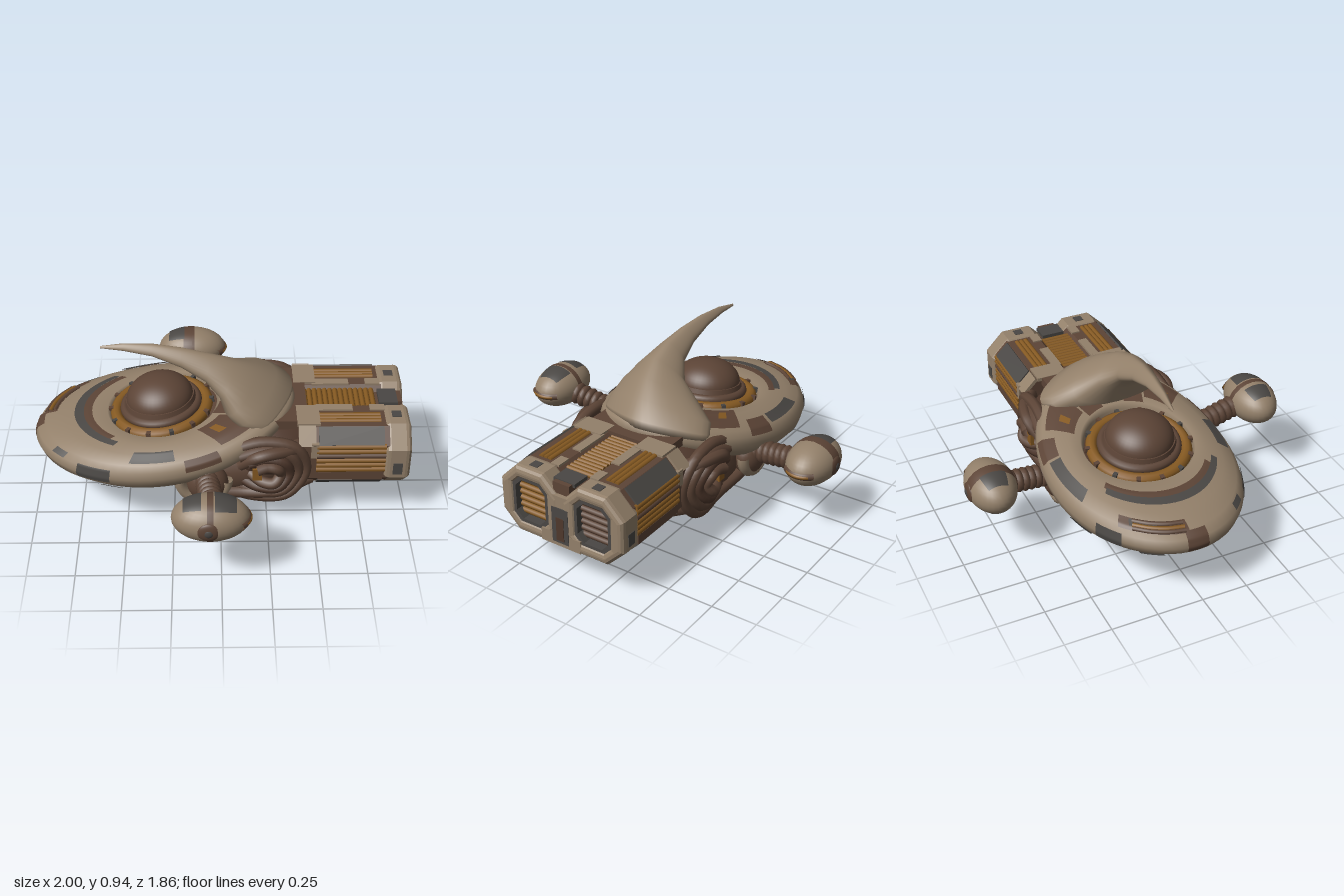
import * as THREE from 'three';

const V = (x, y, z) => new THREE.Vector3(x, y, z);
const D = Math.PI / 180;
const CX = -0.3, CZ = -0.03; // centre of the saucer hull

const colour = (name, hex) => {
  const m = new THREE.MeshStandardMaterial({ color: hex, side: THREE.DoubleSide });
  m.name = name;
  return m;
};

// skin through rows of points
function loft(rows, closeRows, closeLoop) {
  const n = rows.length, m = rows[0].length, pos = [], idx = [];
  rows.forEach(r => r.forEach(p => pos.push(p.x, p.y, p.z)));
  for (let i = 0; i < (closeRows ? n : n - 1); i++)
    for (let j = 0; j < (closeLoop ? m : m - 1); j++) {
      const a = i * m + j, b = i * m + (j + 1) % m;
      const c = ((i + 1) % n) * m + j, d = ((i + 1) % n) * m + (j + 1) % m;
      idx.push(a, b, c, b, d, c);
    }
  const g = new THREE.BufferGeometry();
  g.setAttribute('position', new THREE.Float32BufferAttribute(pos, 3));
  g.setIndex(idx);
  g.computeVertexNormals();
  return g;
}

// hull cross-section: fraction from cockpit hole to rim, height above the mid surface
const PROFILE = [[0, 0.03], [0, 0.1], [0.05, 0.122], [0.3, 0.118], [0.6, 0.1], [0.85, 0.07], [0.96, 0.038],
  [1, 0], [0.96, -0.04], [0.8, -0.08], [0.5, -0.11], [0.2, -0.12], [-0.3, -0.12]];

function hullPoint(th, s, lift = 0) {
  const i = Math.min(Math.floor(s), PROFILE.length - 2), t = s - i;
  let f = PROFILE[i][0] * (1 - t) + PROFILE[i + 1][0] * t;
  let h = PROFILE[i][1] * (1 - t) + PROFILE[i + 1][1] * t;
  h += lift * THREE.MathUtils.clamp(h / 0.04, -1, 1);
  f += lift * 2 * THREE.MathUtils.smoothstep(f, 0.75, 1);
  const c = Math.cos(th), n = Math.sin(th);
  const x = CX + c * (0.285 * (1 - f) + 0.7 * f), z = CZ + n * (0.285 * (1 - f) + 0.5 * f);
  const d = x - CX;
  return V(x, 0.4 + 0.12 * d + 0.1 * d * d + 0.1 * Math.max(0, d) ** 2 + h, z);
}

function hullPatch(t0, t1, s0, s1, lift) {
  const rows = [];
  for (let i = 0; i <= 20; i++) {
    const row = [];
    for (let j = 0; j <= 10; j++) row.push(hullPoint((t0 + (t1 - t0) * i / 20) * D, s0 + (s1 - s0) * j / 10, lift));
    rows.push(row);
  }
  return loft(rows);
}

const octagon = (hw, hh, c, T = THREE.Shape) => new T([[hw, c - hh], [hw, hh - c], [hw - c, hh], [c - hw, hh],
  [-hw, hh - c], [-hw, c - hh], [c - hw, -hh], [hw - c, -hh]].map(p => new THREE.Vector2(...p)));

// octagonal prism along x, optionally hollow
function prism(outer, hole, depth, bevel) {
  const s = octagon(...outer);
  if (hole) s.holes.push(octagon(...hole, THREE.Path));
  return new THREE.ExtrudeGeometry(s, { depth, bevelEnabled: bevel > 0, bevelSize: bevel, bevelThickness: bevel,
    bevelSegments: 3 }).rotateY(Math.PI / 2);
}

export function createModel() {
  const root = new THREE.Group();
  root.name = 'spacecraft';
  const tan = colour('tan plating', 0x93806a), brown = colour('brown pipework', 0x5c4436);
  const amber = colour('amber glow', 0x865a22), grey = colour('grey panel', 0x4a4744), dark = colour('dark recess', 0x4f382c);

  const add = (name, geo, mat, x = 0, y = 0, z = 0, parent = root) => {
    const m = new THREE.Mesh(geo, mat);
    m.name = name;
    m.position.set(x, y, z);
    parent.add(m);
    return m;
  };
  const box = (name, mat, w, h, d, x, y, z, parent) => add(name, new THREE.BoxGeometry(w, h, d), mat, x, y, z, parent);
  const rod = (name, mat, r, len, axis, x, y, z, parent) => {
    const g = new THREE.CylinderGeometry(r, r, len, 8);
    if (axis === 'x') g.rotateZ(Math.PI / 2); else g.rotateX(Math.PI / 2);
    return add(name, g, mat, x, y, z, parent);
  };
  const pipe = (name, mat, pts, r, parent) => add(name, new THREE.TubeGeometry(
    new THREE.CatmullRomCurve3(pts.map(p => V(...p))), 36, r, 8), mat, 0, 0, 0, parent);
  const blob = (name, mat, rx, ry, rz, x, y, z, parent) => add(name,
    new THREE.SphereGeometry(1, 32, 20).scale(rx, ry, rz), mat, x, y, z, parent);

  // saucer hull and its inlaid panels
  const rows = [];
  for (let i = 0; i < 72; i++) rows.push(PROFILE.map((p, s) => hullPoint(i * 5 * D, s)));
  add('saucerHull', loft(rows, true), tan);
  [[130, 236, 2.8, 3.25, brown], [122, 234, 3.2, 3.6, grey], [246, 276, 4, 5, grey], [254, 266, 4.2, 4.8, brown],
    [84, 106, 3.9, 4.9, grey], [184, 224, 4.5, 5.4, brown], [202, 218, 4.6, 5, grey], [298, 326, 2.5, 4.7, brown],
    [306, 312, 3, 3.7, amber], [34, 60, 2.5, 4.7, brown], [48, 54, 3, 3.7, amber], [113, 130, 5.9, 7.5, grey],
    [139, 148, 5.3, 6, grey], [222, 236, 6, 7.6, grey], [174, 187, 5.2, 7.6, brown], [198, 212, 8.4, 9.2, grey],
    [150, 164, 8.4, 9.2, grey], [240, 254, 8.3, 9.1, grey], [110, 122, 8.3, 9.1, grey], [64, 80, 5, 6.6, brown],
    [278, 292, 4, 6, brown], [328, 348, 2, 3.6, brown], [12, 32, 2, 3.6, brown]
  ].forEach(([a, b, c, d, m]) => add('hullPanel', hullPatch(a, b, c, d, m === brown ? 0.005 : 0.009), m));
  for (let k = 0; k < 3; k++) pipe('noseRod', k === 1 ? amber : brown,
    [186, 196, 206, 216].map(a => hullPoint(a * D, 4.65 + k * 0.25, 0.004).toArray()), 0.012);

  // cockpit dome and rings
  const cockpit = new THREE.Group();
  cockpit.name = 'cockpit';
  cockpit.position.set(-0.31, 0.48, CZ);
  cockpit.rotation.z = 0.12;
  root.add(cockpit);
  add('cockpitFloor', new THREE.CylinderGeometry(0.285, 0.285, 0.06, 48), dark, 0, -0.02, 0, cockpit);
  const ring = (name, mat, R, r, y) => add(name, new THREE.TorusGeometry(R, r, 10, 56).rotateX(Math.PI / 2), mat, 0, y, 0, cockpit);
  ring('amberRing', amber, 0.246, 0.032, 0.025);
  ring('domeCollar', brown, 0.195, 0.026, 0.05);
  add('domeWall', new THREE.CylinderGeometry(0.185, 0.205, 0.08, 48), brown, 0, 0.06, 0, cockpit);
  add('dome', new THREE.SphereGeometry(1, 40, 14, 0, Math.PI * 2, 0, Math.PI / 2).scale(0.18, 0.125, 0.18), brown, 0, 0.09, 0, cockpit);
  for (let i = 0; i < 14; i++) {
    const a = i * Math.PI / 7;
    const b = box('ringClamp', i % 3 ? brown : grey, 0.03, 0.03, 0.022, Math.cos(a) * 0.27, 0.038, Math.sin(a) * 0.27, cockpit);
    b.rotation.y = -a;
  }

  // swept crest: top point, bottom point, half width, sideways drift
  const crest = [[-0.62, 0.912, -0.62, 0.9, 0.006, 0], [-0.5, 0.934, -0.5, 0.895, 0.02, 0.012], [-0.35, 0.938, -0.35, 0.875, 0.037, 0.025],
    [-0.2, 0.922, -0.2, 0.82, 0.056, 0.04], [-0.05, 0.888, -0.08, 0.75, 0.085, 0.05], [0.08, 0.842, -0.01, 0.67, 0.14, 0.045],
    [0.2, 0.78, 0.01, 0.59, 0.225, 0.01], [0.3, 0.715, 0.04, 0.54, 0.285, -0.03], [0.385, 0.645, 0.1, 0.53, 0.3, -0.05],
    [0.39, 0.6, 0.12, 0.51, 0.29, -0.05], [0.25, 0.55, 0.2, 0.52, 0.02, -0.05]];
  add('crest', loft(crest.map(([tx, ty, bx, by, w, drift]) => Array.from({ length: 32 }, (_, j) => {
    const a = j * Math.PI / 16, k = 0.5 + 0.5 * Math.cos(a);
    return V(bx + (tx - bx) * k, by + (ty - by) * k, Math.sin(a) * (1 - 0.4 * Math.cos(a)) * w + drift);
  })), false, true), tan);

  // belly and midsection core
  blob('belly', brown, 0.46, 0.24, 0.38, 0.06, 0.3, CZ);
  blob('midsection', dark, 0.36, 0.19, 0.38, 0.22, 0.38, CZ);
  blob('bellyKnob', brown, 0.08, 0.05, 0.08, -0.04, 0.05, CZ);

  // coiled side pipes, mirrored
  for (const s of [1, -1]) {
    for (let i = 0; i < 4; i++) {
      const k = 1 - i * 0.23, z = CZ + s * (0.34 + i * 0.02), at = (x, y, dz = 0) => [0.25 + x * k, 0.36 + y * k, z + s * dz];
      pipe('sidePipe', i === 2 ? dark : brown, [at(-0.3, -0.12, -0.05), at(-0.1, -0.19, 0), at(0.1, -0.17, 0.02), at(0.2, -0.02, 0),
        at(0.14, 0.13, 0.02), at(-0.03, 0.17, 0.02), at(-0.2, 0.13, 0.03)], 0.031);
    }
    for (let i = 0; i < 3; i++)
      pipe('shoulderPipe', brown, [[0.1 + i * 0.05, 0.4, CZ + s * 0.38], [0.2 + i * 0.06, 0.48, CZ + s * (0.42 - i * 0.02)],
        [0.36 + i * 0.03, 0.48, CZ + s * (0.37 - i * 0.03)], [0.46, 0.41, CZ + s * 0.27]], 0.032);
    box('amberVent', amber, 0.05, 0.07, 0.02, 0.19, 0.36, CZ + s * 0.41);
    for (let i = 0; i < 5; i++) {
      const w = 0.07 + i * 0.075;
      pipe('bellyPipe', i % 2 ? dark : brown, [[-0.4 + i * 0.05, 0.27, CZ + s * w], [-0.12, 0.12 + i * 0.028, CZ + s * w],
        [0.1, 0.065 + i * 0.035, CZ + s * (w - 0.01)], [0.3, 0.12 + i * 0.025, CZ + s * w], [0.48, 0.25, CZ + s * w * 0.8]], 0.034);
    }
  }

  // underside lenses
  const lens = (x, y, z, R, n) => {
    const g = new THREE.Group();
    g.name = 'bellyLens';
    g.position.set(x, y, z);
    g.quaternion.setFromUnitVectors(V(0, 0, 1), V(...n).normalize());
    root.add(g);
    add('lensRim', new THREE.TorusGeometry(R, R * 0.12, 8, 40), tan, 0, 0, 0, g);
    add('lensCup', new THREE.CylinderGeometry(R * 0.96, R * 0.9, 0.07, 32).rotateX(Math.PI / 2), brown, 0, 0, -0.03, g);
    add('lensInnerRim', new THREE.TorusGeometry(R * 0.74, R * 0.1, 8, 32), brown, 0, 0, 0.014, g);
    blob('lensGlass', amber, R * 0.68, R * 0.68, R * 0.25, 0, 0, 0.012, g);
  };
  lens(-0.2, 0.082, -0.04, 0.17, [-0.1, -0.95, 0.14]);
  lens(0.14, 0.06, 0.12, 0.07, [0.45, -0.8, 0.3]);
  lens(0.15, 0.07, -0.21, 0.075, [0.45, -0.8, -0.35]);

  // twin engines
  for (const s of [1, -1]) {
    const e = new THREE.Group();
    e.name = 'engine';
    e.position.set(0, 0.39, CZ + s * 0.19);
    root.add(e);
    add('engineBody', prism([0.165, 0.18, 0.075], null, 0.48, 0), brown, 0.41, 0, 0, e);
    add('engineCap', prism([0.155, 0.16, 0.085], [0.13, 0.15, 0.055], 0.08, 0.03), tan, 0.885, 0, 0, e);
    add('exhaustFrame', prism([0.118, 0.138, 0.05], [0.092, 0.112, 0.04], 0.05, 0), grey, 0.935, 0, 0, e);
    box('exhaustBack', dark, 0.02, 0.24, 0.2, 0.925, 0, 0, e);
    for (let i = 0; i < 6; i++) rod('exhaustGrille', s > 0 ? amber : brown, 0.015, 0.2, 'z', 0.94, -0.09 + i * 0.036, 0, e);
    // side ribs, chamfer panels and top ribs
    for (let i = 0; i < 6; i++) rod('sideRib', i === 3 ? brown : amber, 0.016, 0.36, 'x', 0.68, -0.045 + i * 0.029, s * 0.162, e);
    for (const u of [1, -1]) {
      const p = box('chamferPanel', grey, 0.34, 0.1, 0.012, 0.68, u * 0.145, s * 0.13, e);
      p.rotation.x = -u * s * Math.PI / 4;
    }
    const shoulder = box('shoulderBracket', tan, 0.09, 0.11, 0.02, 0.45, 0.145, s * 0.13, e);
    shoulder.rotation.x = -s * Math.PI / 4;
    box('lowerPanel', brown, 0.34, 0.05, 0.012, 0.68, -0.085, s * 0.166, e);
    for (let i = 0; i < 3; i++) rod('topRib', amber, 0.014, 0.34, 'x', 0.67, 0.178, s * 0.015 - 0.026 + i * 0.026, e);
    for (let i = 0; i < 4; i++) rod('bottomRib', i % 2 ? brown : amber, 0.016, 0.34, 'x', 0.68, -0.178, -0.06 + i * 0.04, e);
    box('capSidePanel', grey, 0.05, 0.07, 0.008, 0.925, -0.03, s * 0.184, e);
    box('capTopPanel', grey, 0.05, 0.008, 0.05, 0.925, 0.189, 0, e);
    box('topBracket', tan, 0.12, 0.02, 0.17, 0.46, 0.182, 0, e);
    box('topStrip', tan, 0.2, 0.016, 0.05, 0.6, 0.18, -s * 0.07, e);
    box('topStrip', tan, 0.08, 0.016, 0.05, 0.83, 0.18, -s * 0.07, e);
    box('sideBracket', tan, 0.04, 0.09, 0.02, 0.49, 0.08, s * 0.165, e);
    box('keelBracket', tan, 0.03, 0.05, 0.06, 0.52, -0.19, s * 0.02, e);
  }

  // spine between the engines
  box('engineSpine', brown, 0.5, 0.3, 0.14, 0.65, 0.39, CZ);
  for (let i = 0; i < 16; i++) rod('spineRib', amber, 0.014, 0.16, 'z', 0.4 + i * 0.028, 0.548, CZ);
  box('spineEndPlate', grey, 0.1, 0.02, 0.13, 0.9, 0.555, CZ);
  box('rearTopPanel', brown, 0.05, 0.06, 0.1, 0.95, 0.53, CZ);
  box('rearBridge', tan, 0.1, 0.07, 0.24, 0.945, 0.245, CZ);
  box('rearBridgeTop', tan, 0.08, 0.07, 0.12, 0.952, 0.46, CZ);
  box('rearRecess', grey, 0.04, 0.2, 0.1, 0.977, 0.33, CZ);
  box('rearRecessCore', dark, 0.006, 0.13, 0.045, 0.997, 0.31, CZ);
  box('engineKeel', dark, 0.3, 0.06, 0.4, 0.66, 0.2, CZ);
  for (let i = 0; i < 7; i++) rod('keelRib', i % 3 ? brown : grey, 0.024, 0.3, 'x', 0.66, 0.175, CZ - 0.18 + i * 0.06);
  box('neckPlate', brown, 0.2, 0.05, 0.5, 0.36, 0.555, CZ);

  // side pods on ribbed arms
  const pod = (x, y, z, s, from) => {
    const a = V(...from), b = V(x + 0.01, y - 0.02, z - s * 0.08), dir = b.clone().sub(a).normalize();
    for (let i = 0; i < 8; i++) {
      const p = a.clone().lerp(b, i / 7);
      const t = add('armRib', new THREE.TorusGeometry(0.042, 0.022, 8, 20), brown, p.x, p.y, p.z);
      t.quaternion.setFromUnitVectors(V(0, 0, 1), dir);
    }
    pipe('armCore', brown, [a.toArray(), b.toArray()], 0.045);
    blob('armSocket', brown, 0.11, 0.11, 0.08, a.x, a.y - 0.04, a.z - s * 0.05);
    add('socketGuard', new THREE.TorusGeometry(0.122, 0.032, 8, 28, Math.PI).rotateZ(Math.PI), tan, a.x - 0.02, a.y - 0.01, a.z - s * 0.03);

    const g = new THREE.Group();
    g.name = 'sidePod';
    g.position.set(x, y, z);
    root.add(g);
    blob('podShell', tan, 0.195, 0.115, 0.13, 0, 0, 0, g);
    const skin = (name, mat, lon, dLon, lat, dLat, k) => add(name, new THREE.SphereGeometry(k, 20, 12, lon * D, dLon * D,
      lat * D, dLat * D).rotateZ(-Math.PI / 2).scale(0.195, 0.115, 0.13), mat, 0, 0, 0, g);
    skin('podSeam', brown, 0, 360, 86, 9, 1.015);
    if (s > 0) skin('podPanel', grey, -36, 72, 50, 34, 1.02);
    else {
      skin('podBand', brown, -70, 140, 90, 15, 1.015);
      skin('podPanel', grey, 155, 50, 103, 32, 1.02);
    }
    skin('podPanel', grey, -32, 64, 103, 30, 1.02);
    blob('podCap', brown, 0.058, 0.052, 0.02, -0.01, 0, s * 0.115, g);
    blob('podCap', grey, 0.03, 0.03, 0.02, -0.01, 0, s * 0.119, g);
    const slot = dx => [-0.075, -0.04, 0, 0.04, 0.075].map(w => [0.195 * Math.sqrt(1 - (w / 0.13) ** 2) + dx, 0, w]);
    pipe('podSlot', brown, slot(-0.014), 0.022, g);
    pipe('podSlotGlow', amber, slot(0), 0.011, g);
  };
  pod(-0.055, 0.425, 0.787, 1, [-0.07, 0.35, 0.43]);
  pod(-0.155, 0.39, -0.795, -1, [-0.14, 0.35, -0.47]);
  return root;
}
